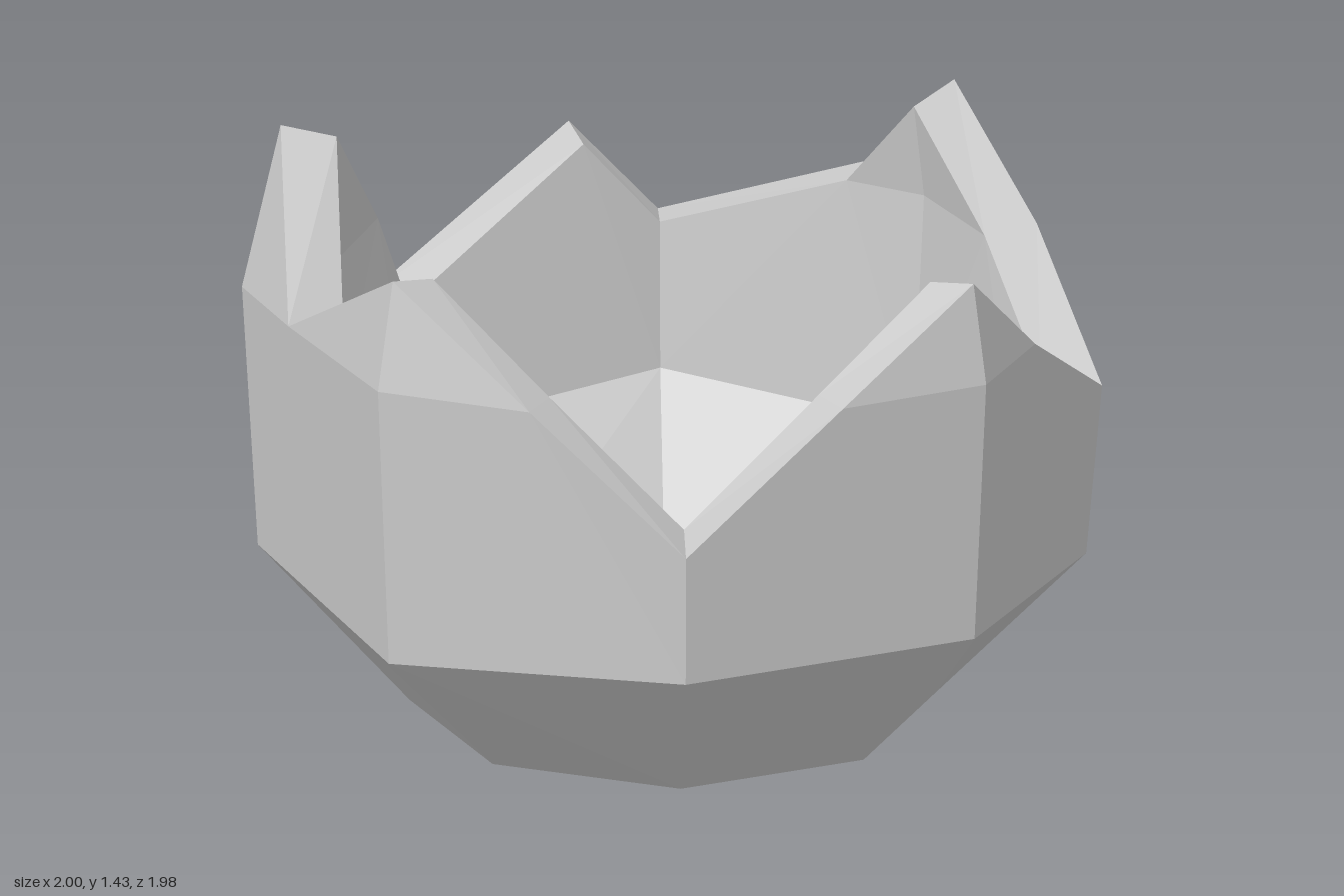
import * as THREE from 'three';

// Broken eight-sided shell. Corners run from +x towards +z.
// Per corner: radius and height of the broken rim, height of the lower belt.
const CORNERS = [
  [1.0, 0.76, 0.345], [0.96, 1.27, 0.39], [0.985, 0.71, 0.39], [0.95, 1.29, 0.345],
  [0.91, 1.43, 0.39], [0.98, 0.74, 0.39], [0.995, 0.84, 0.45], [0.96, 1.27, 0.39],
];
// Rim point part-way along each side: x, y, z
const BREAKS = [
  [0.83, 1.03, 0.44], [0.37, 1.03, 0.855], [-0.36, 1.03, 0.855], [-0.9, 1.02, 0.24],
  [-0.78, 1.03, -0.55], [-0.21, 1.09, -0.915], [0.5, 1.03, -0.8], [0.86, 1.03, -0.36],
];
const SHOULDER = 1.03; // height where the wall starts leaning inwards
const INNER = 0.857;   // inner rim size relative to the outer rim

const polar = (i, r, y) => {
  const a = (i * Math.PI) / 4;
  return [Math.cos(a) * r, y, Math.sin(a) * r];
};

// Outer or inner skin as rows of points
function makeSkin(inner) {
  const s = inner ? INNER : 1;
  const corners = CORNERS.map(([r, y, belt], i) => {
    const peak = y > SHOULDER;
    const rimY = inner ? y + (peak ? -0.03 : 0.02) : y;
    return {
      base: polar(i, inner ? 0.54 : 0.61, inner ? 0.13 : 0),
      belt: polar(i, inner ? 0.82 : 0.963, inner ? belt + 0.06 : belt),
      shoulder: peak ? [polar(i, s, inner ? SHOULDER - 0.02 : SHOULDER)] : [],
      rim: polar(i, r * s, rimY),
    };
  });
  const breaks = BREAKS.map(([x, y, z]) => [x * s, inner ? y - 0.01 : y, z * s]);
  return { corners, breaks };
}

// Fan of triangles around the first point
function fan(out, points, flip) {
  for (let i = 1; i < points.length - 1; i++) {
    const [b, c] = flip ? [points[i + 1], points[i]] : [points[i], points[i + 1]];
    out.push(...points[0], ...b, ...c);
  }
}

function toMesh(name, positions) {
  const geometry = new THREE.BufferGeometry();
  geometry.setAttribute('position', new THREE.Float32BufferAttribute(positions, 3));
  geometry.computeVertexNormals();
  const mesh = new THREE.Mesh(geometry,
    new THREE.MeshStandardMaterial({ color: 0xcccccc, flatShading: true }));
  mesh.name = name;
  return mesh;
}

// Floor, sloping bowl and upright wall of one skin
function skinMesh(name, { corners, breaks }, flip) {
  const out = [];
  fan(out, corners.map((c) => c.base), flip);
  corners.forEach((a, i) => {
    const b = corners[(i + 1) % 8];
    fan(out, [a.base, a.belt, b.belt, b.base], flip);
    fan(out, [breaks[i], b.rim, ...b.shoulder, b.belt, a.belt, ...a.shoulder, a.rim], flip);
  });
  return toMesh(name, out);
}

// Jagged edge joining the two skins
function rimMesh(outer, inner) {
  const out = [];
  const loop = ({ corners, breaks }) => corners.flatMap((c, i) => [c.rim, breaks[i]]);
  const o = loop(outer), n = loop(inner);
  o.forEach((p, i) => {
    const j = (i + 1) % o.length;
    fan(out, [p, n[i], n[j], o[j]], false);
  });
  return toMesh('brokenRim', out);
}

export function createModel() {
  const group = new THREE.Group();
  group.name = 'brokenShell';
  const outer = makeSkin(false), inner = makeSkin(true);
  group.add(
    skinMesh('outerShell', outer, false),
    skinMesh('innerShell', inner, true),
    rimMesh(outer, inner),
  );
  return group;
}
